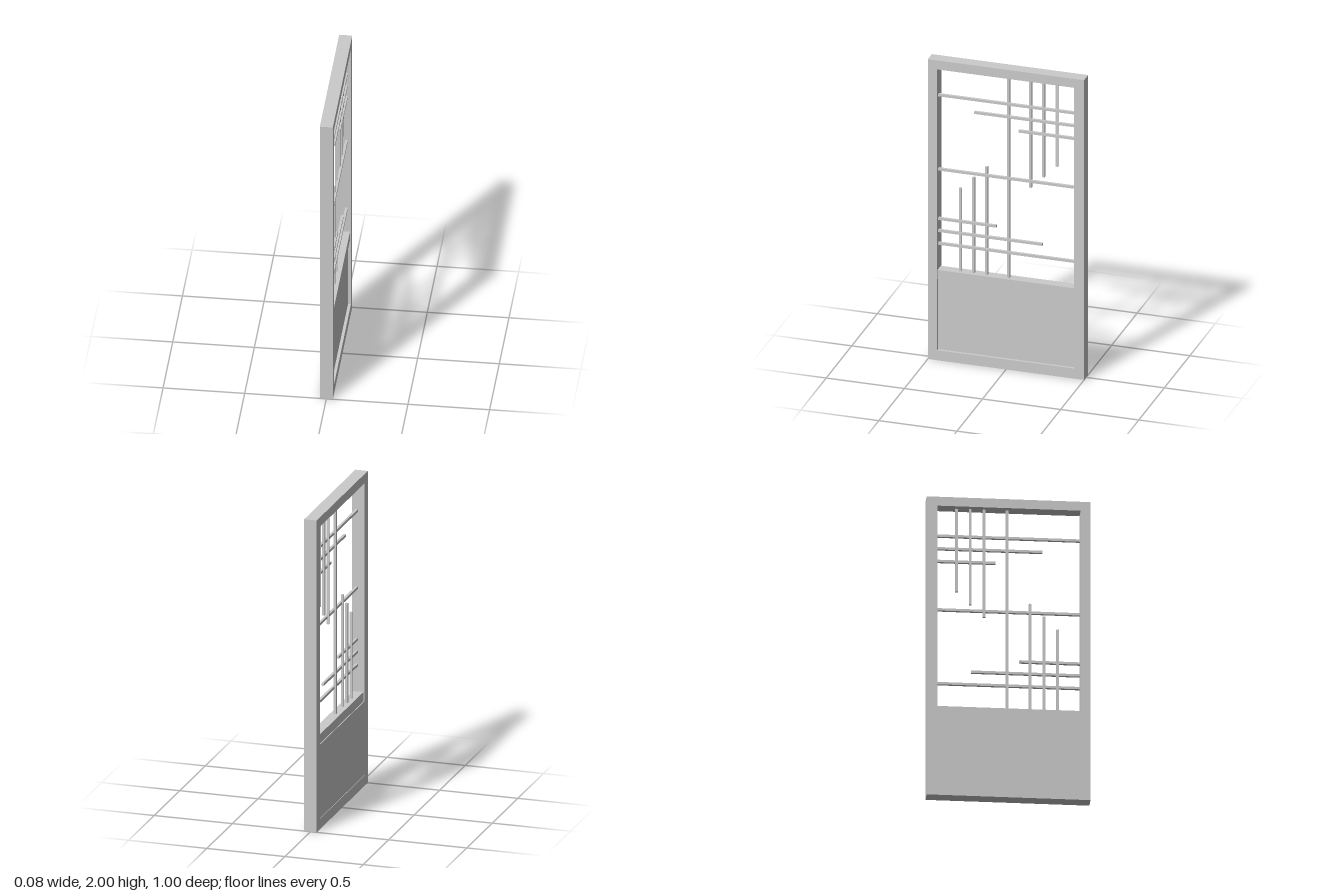
import * as THREE from 'three';

const material = new THREE.MeshStandardMaterial({ color: 0xcccccc });
const Z_BACK = -0.435, Z_FRONT = 0.44;   // frame opening along z
const SILL = 0.6, HEAD = 1.94;           // lattice opening along y
const BAR = 0.016;

// Box given by its extents on each axis
function addBox(parent, name, [x0, x1], [y0, y1], [z0, z1]) {
  const mesh = new THREE.Mesh(new THREE.BoxGeometry(x1 - x0, y1 - y0, z1 - z0), material);
  mesh.position.set((x0 + x1) / 2, (y0 + y1) / 2, (z0 + z1) / 2);
  mesh.name = name;
  parent.add(mesh);
}

function rectangle(path, x0, y0, x1, y1) {
  path.moveTo(x0, y0).lineTo(x1, y0).lineTo(x1, y1).lineTo(x0, y1).closePath();
  return path;
}

export function createModel() {
  const model = new THREE.Group();
  model.name = 'latticeDoor';

  // Outer frame: one rectangle with an opening, extruded along x
  const outline = rectangle(new THREE.Shape(), -0.5, 0, 0.5, 2);
  outline.holes.push(rectangle(new THREE.Path(), -Z_FRONT, 0.067, -Z_BACK, HEAD));
  const frameGeometry = new THREE.ExtrudeGeometry(outline, { depth: 0.08, bevelEnabled: false });
  frameGeometry.translate(0, 0, -0.04).rotateY(Math.PI / 2);
  const frame = new THREE.Mesh(frameGeometry, material);
  frame.name = 'frame';
  model.add(frame);

  // Solid lower panel and the rail above it
  addBox(model, 'lowerPanel', [-0.037, 0.022], [0.067, 0.54], [Z_BACK, Z_FRONT]);
  addBox(model, 'middleRail', [-0.032, 0.034], [0.54, SILL], [Z_BACK, Z_FRONT]);

  const lattice = new THREE.Group();
  lattice.name = 'lattice';
  model.add(lattice);

  // Horizontal bars: height, back end, front end
  const horizontals = [
    [1.76, Z_BACK, Z_FRONT], [1.675, Z_BACK, 0.21], [1.59, Z_BACK, -0.075],
    [1.265, Z_BACK, Z_FRONT],
    [0.935, 0.07, Z_FRONT], [0.855, -0.225, Z_FRONT], [0.77, Z_BACK, Z_FRONT],
  ];
  for (const [y, z0, z1] of horizontals) {
    addBox(lattice, 'horizontalBar', [0.004, 0.02], [y - BAR / 2, y + BAR / 2], [z0, z1]);
  }

  // Vertical bars: z position, bottom, top
  const verticals = [[-0.006, SILL, HEAD]];
  for (let i = 0; i < 3; i++) {
    verticals.push([-0.146 - i * 0.084, 1.22 + i * 0.082, HEAD]);
    verticals.push([0.135 + i * 0.084, SILL, 1.32 - i * 0.083]);
  }
  for (const [z, y0, y1] of verticals) {
    addBox(lattice, 'verticalBar', [-0.005, 0.011], [y0, y1], [z - BAR / 2, z + BAR / 2]);
  }

  return model;
}
